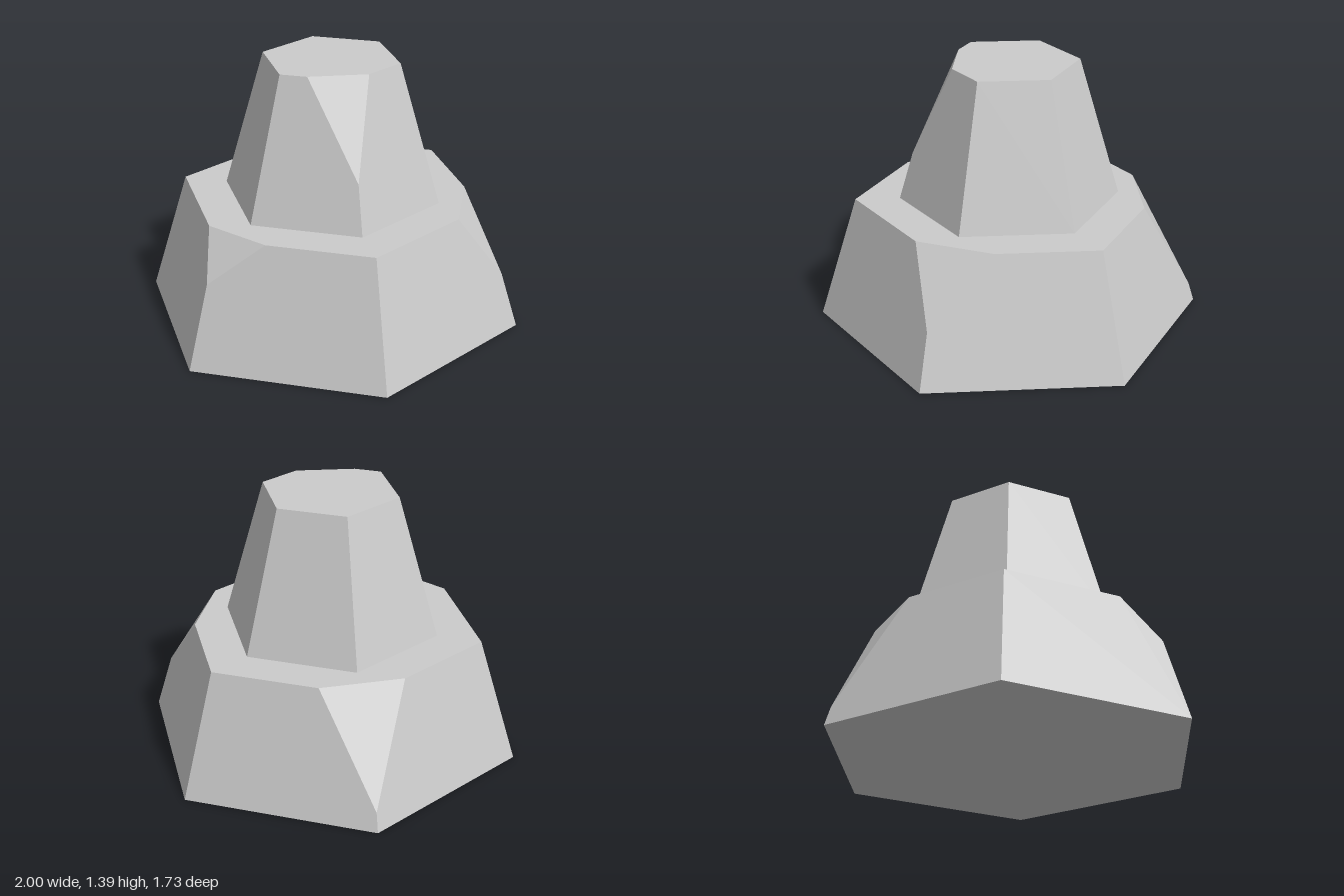
import * as THREE from 'three';
import { ConvexGeometry } from 'three/addons/geometries/ConvexGeometry.js';

const material = new THREE.MeshStandardMaterial({ color: 0xcccccc, flatShading: true });

const corner = (k, radius, y) => {
  const a = (k * Math.PI) / 3;
  return new THREE.Vector3(radius * Math.cos(a), y, radius * Math.sin(a));
};

// Tapered hexagonal block. chips[k] = how far a cut at top corner k runs
// [towards the next corner, towards the previous corner, down the edge], as fractions.
function chippedTier(name, y0, r0, y1, r1, chips) {
  const points = [];
  for (let k = 0; k < 6; k++) {
    const low = corner(k, r0, y0);
    const top = corner(k, r1, y1);
    points.push(low);
    if (chips[k]) {
      const ends = [corner(k + 1, r1, y1), corner(k - 1, r1, y1), low];
      ends.forEach((end, i) => points.push(top.clone().lerp(end, chips[k][i])));
    } else {
      points.push(top);
    }
  }
  const mesh = new THREE.Mesh(new ConvexGeometry(points), material);
  mesh.name = name;
  return mesh;
}

export function createModel() {
  const model = new THREE.Group();
  model.name = 'steppedHexagonalBlock';

  // Wide base with three broken corners
  model.add(chippedTier('lowerTier', 0, 1, 0.653, 0.8, {
    0: [0.243, 0.346, 0.555],
    2: [0.206, 0.313, 0.34],
    4: [0.313, 0.307, 0.85],
  }));

  // Narrow upper block with one broken corner
  model.add(chippedTier('upperTier', 0.653, 0.57, 1.39, 0.357, {
    1: [0.61, 0.36, 0.66],
  }));

  return model;
}
